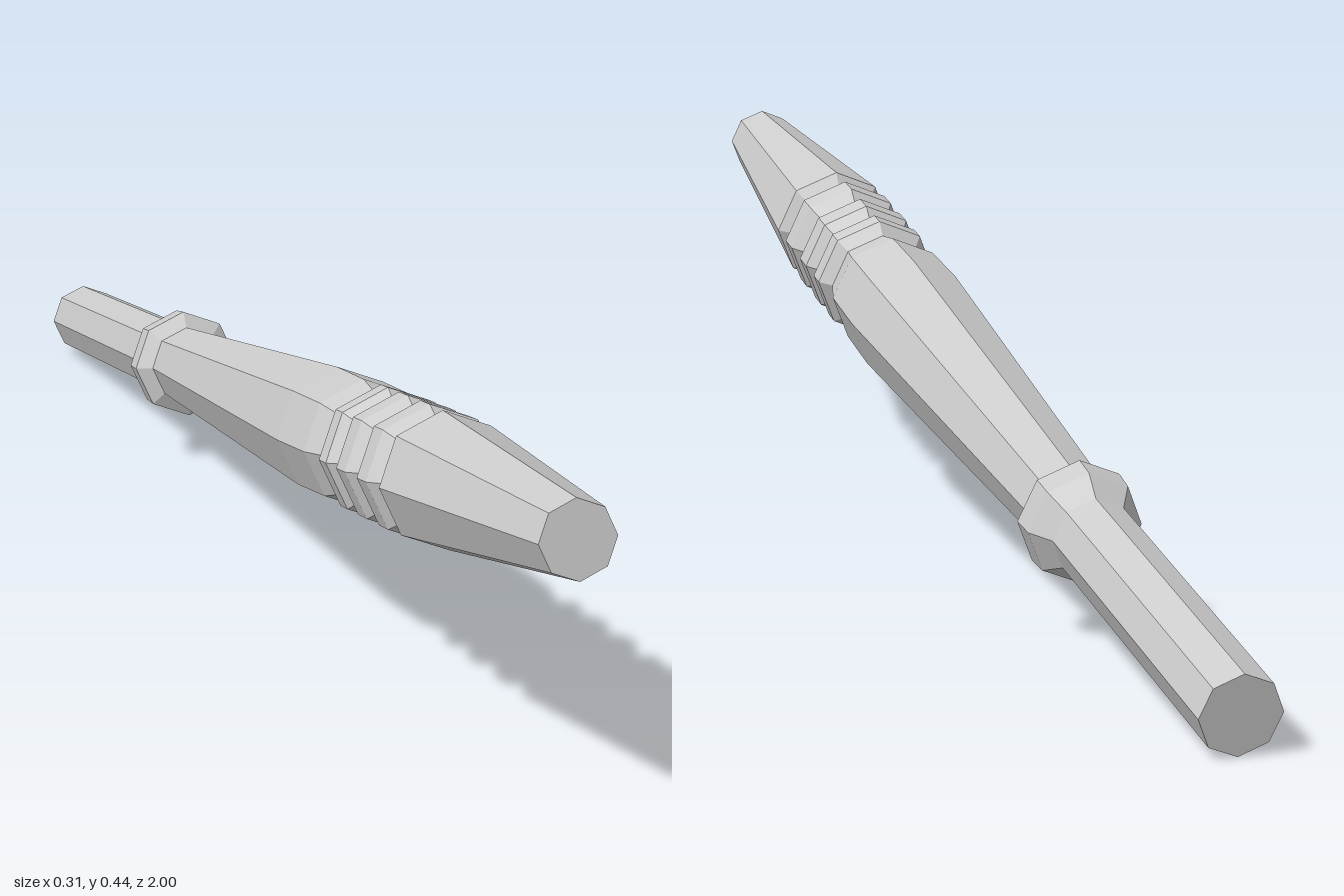
import * as THREE from 'three';

export function createModel() {
  const group = new THREE.Group();
  const material = new THREE.MeshStandardMaterial({
    color: 0xcccccc, flatShading: true, side: THREE.DoubleSide,
  });

  // Eight-sided turned section: profile is [radius, position along the shaft], back to front
  function turned(name, profile) {
    const points = profile.map(([r, t]) => new THREE.Vector2(r, t));
    const geometry = new THREE.LatheGeometry(points, 8).rotateX(Math.PI / 2);
    const mesh = new THREE.Mesh(geometry, material);
    mesh.name = name;
    shaft.add(mesh);
  }

  const shaft = new THREE.Group();
  shaft.name = 'shaft';
  group.add(shaft);

  // Straight handle with closed end
  turned('handle', [[0, -1.0125], [0.05, -1.0125], [0.051, -0.526]]);

  // Raised collar between handle and body
  turned('collar', [[0.051, -0.526], [0.072, -0.497], [0.074, -0.462], [0.053, -0.45]]);

  // Long body swelling towards the front
  turned('body', [[0.053, -0.45], [0.084, 0.22], [0.082, 0.32], [0.069, 0.368]]);

  // Three bevelled beads separated by grooves
  [[0.368, 0.43], [0.43, 0.505], [0.505, 0.582]].forEach(([a, b], i) => {
    const w = b - a;
    turned(`bead${i + 1}`, [[0.069, a], [0.084, a + w * 0.28], [0.084, a + w * 0.7], [0.069, b]]);
  });

  // Tapered tip with a shoulder and a flat end
  turned('tip', [[0.069, 0.582], [0.069, 0.59], [0.083, 0.603], [0.046, 1.0125], [0, 1.0125]]);

  // Tilt the shaft forwards and up
  shaft.lookAt(0.1075, 0.1755, 1);
  shaft.position.set(0, 0.226, 0);
  return group;
}
